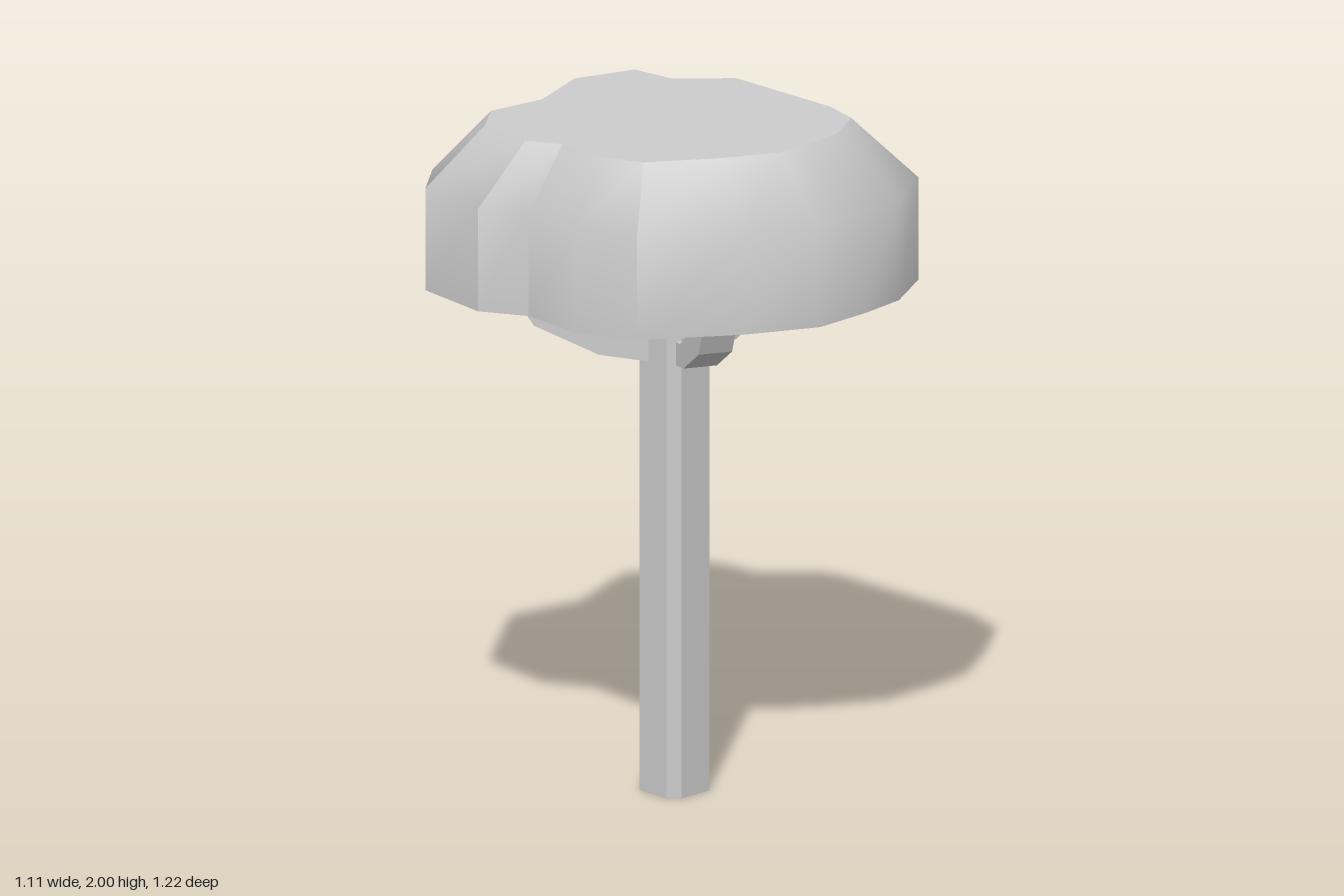
import * as THREE from 'three';
import { mergeGeometries } from 'three/addons/utils/BufferGeometryUtils.js';

const CENTRE = 0.015; // trunk axis in x and z

// Crown outline, clockwise from above: outer x, z then top rim x, z
const OUTLINE = [
  [-0.39, -0.555, -0.295, -0.415], [-0.15, -0.515, -0.12, -0.385],
  [0.105, -0.61, 0.075, -0.455], [0.35, -0.52, 0.25, -0.39],
  [0.37, -0.335, 0.265, -0.255], [0.535, -0.17, 0.395, -0.125],
  [0.55, 0.345, 0.4, 0.255], [0.515, 0.495, 0.37, 0.37],
  [0.345, 0.59, 0.25, 0.44], [0.2, 0.605, 0.14, 0.45],
  [0.02, 0.605, 0.01, 0.45], [-0.175, 0.5, -0.14, 0.365],
  [-0.425, 0.315, -0.32, 0.235], [-0.5, 0.145, -0.375, 0.105],
  [-0.485, -0.065, -0.365, -0.05], [-0.555, -0.2, -0.415, -0.15],
  [-0.525, -0.445, -0.395, -0.335],
];
const N = OUTLINE.length;

function buildGeometry(points, index) {
  const geo = new THREE.BufferGeometry();
  geo.setAttribute('position', new THREE.Float32BufferAttribute(points.flat(), 3));
  geo.setIndex(index);
  geo.computeVertexNormals();
  return geo;
}

// True where the outline turns strongly enough to show a hard vertical edge
function isSharp(i) {
  const [p, q, r] = [i + N - 1, i, i + 1].map((k) => new THREE.Vector2(...OUTLINE[k % N].slice(0, 2)));
  const turn = q.clone().sub(p).angleTo(r.clone().sub(q));
  return turn > THREE.MathUtils.degToRad(29);
}

// Wall and sloping shoulder in smooth panels between hard corners, plus caps
function crownGeometry() {
  const at = (x, y, z) => [x, y + 0.016 * x, z];
  const rings = [
    OUTLINE.map(([x, z]) => at(x, 1.506, z)),
    OUTLINE.map(([x, z]) => at(x, 1.81, z)),
    OUTLINE.map(([, , x, z]) => at(x, 1.993, z)),
  ];
  const parts = [];
  for (let start = 0; start < N; start++) {
    if (!isSharp(start)) continue;
    let end = start + 1;
    while (!isSharp(end % N)) end++;
    const points = [];
    const index = [];
    for (let c = start; c <= end; c++) {
      rings.forEach((ring) => points.push(ring[c % N]));
      if (c === end) break;
      for (let r = 0; r < 2; r++) {
        const a = (c - start) * 3 + r, b = a + 3;
        index.push(b, a, a + 1, b, a + 1, b + 1);
      }
    }
    parts.push(buildGeometry(points, index));
  }

  // Flat top and slightly hollow underside
  const top = [], bottom = [];
  for (let i = 0; i < N; i++) {
    const j = (i + 1) % N;
    top.push(N, j, i);
    bottom.push(N, i, j);
  }
  parts.push(buildGeometry([...rings[2], at(0, 1.993, 0)], top));
  parts.push(buildGeometry([...rings[0], at(0, 1.56, 0)], bottom));
  return mergeGeometries(parts);
}

const shapeOf = (pts) => new THREE.Shape(pts.map(([x, y]) => new THREE.Vector2(x, y)));

// Square post with chamfered corners
function trunkGeometry() {
  const a = 0.085, b = 0.055;
  const shape = shapeOf([[a, -b], [a, b], [b, a], [-b, a], [-a, b], [-a, -b], [-b, -a], [b, -a]]);
  const geo = new THREE.ExtrudeGeometry(shape, { depth: 1.6, bevelEnabled: false });
  return geo.rotateX(-Math.PI / 2);
}

// Curved bracket from the trunk out to the crown's underside
function branchGeometry(reach) {
  const start = 0.07, width = 0.1;
  const profile = [
    [0, 1.285], [0.36, 1.302], [0.83, 1.385], [0.95, 1.46], [1, 1.52], [1.02, 1.57],
    [0.86, 1.57], [0.81, 1.515], [0.7, 1.452], [0.24, 1.364], [0, 1.36],
  ];
  const shape = shapeOf(profile.map(([t, y]) => [start + t * (reach - start), y]));
  const geo = new THREE.ExtrudeGeometry(shape, { depth: width, bevelEnabled: false });
  return geo.translate(0, 0, -width / 2);
}

export function createModel() {
  const model = new THREE.Group();
  model.name = 'tree';
  const material = new THREE.MeshStandardMaterial({ color: 0xcccccc });
  const add = (name, geo) => {
    const mesh = new THREE.Mesh(geo, material);
    mesh.name = name;
    model.add(mesh);
    return mesh;
  };

  add('crown', crownGeometry());
  add('trunk', trunkGeometry()).position.set(CENTRE, 0, CENTRE);

  // Three branches: direction in degrees from +x towards +z, reach, root x
  [[-3, 0.44, CENTRE], [116, 0.365, 0.04], [228, 0.465, CENTRE]].forEach(([angle, reach, x], i) => {
    const branch = add(`branch${i + 1}`, branchGeometry(reach));
    branch.position.set(x, 0, CENTRE);
    branch.rotation.y = -THREE.MathUtils.degToRad(angle);
  });
  return model;
}
